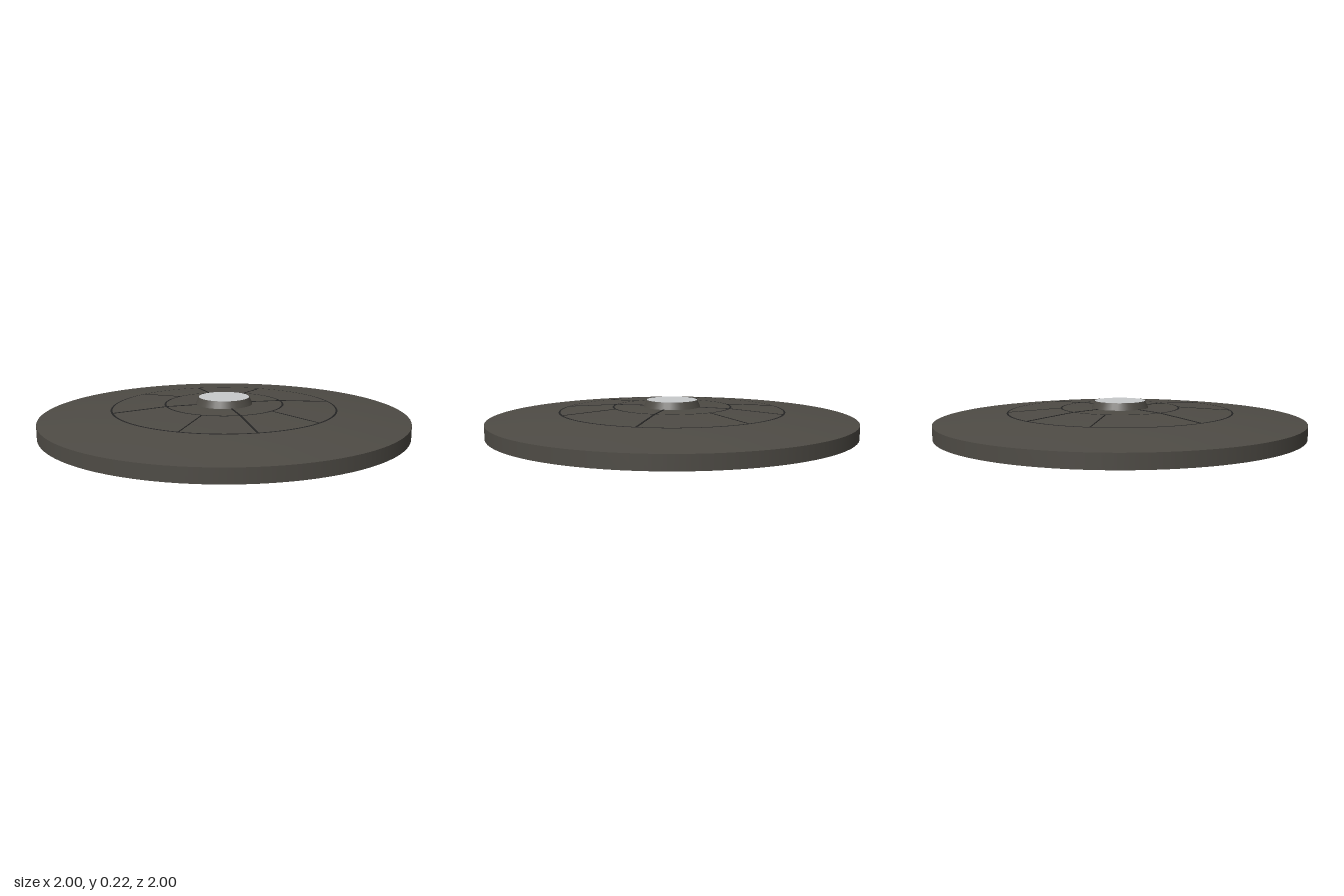
import * as THREE from 'three';

const bodyMat = new THREE.MeshStandardMaterial({ color: 0x4e4b45 });
bodyMat.name = 'dark warm grey';
const lineMat = new THREE.MeshStandardMaterial({ color: 0x242424 });
lineMat.name = 'near black';
const capMat = new THREE.MeshStandardMaterial({ color: 0xc8cacc });
capMat.name = 'light grey';

const BASE = 0.045;
// Upper surface, as radius and height from the rim inward
const TOP = [[1, 0.118], [0.8, 0.142], [0.61, 0.159], [0.32, 0.18], [0.15, 0.182]];

function topHeight(r) {
  for (let i = 1; i < TOP.length; i++) {
    const [r0, y0] = TOP[i - 1], [r1, y1] = TOP[i];
    if (r >= r1) return y0 + (y1 - y0) * (r - r0) / (r1 - r0);
  }
  return 0.182;
}

export function createModel() {
  const model = new THREE.Group();
  model.name = 'disc';

  function add(name, geometry, material) {
    const mesh = new THREE.Mesh(geometry, material);
    mesh.name = name;
    model.add(mesh);
    return mesh;
  }
  // Profiles run along the underside, up the outside and back inward
  function lathe(name, points, material, segments = 96) {
    return add(name, new THREE.LatheGeometry(points.map(p => new THREE.Vector2(...p)), segments), material);
  }

  // Disc body: separate surfaces keep the rim edges sharp
  lathe('underside', [[0.13, BASE], [1, BASE]], bodyMat);
  lathe('rim', [[1, BASE], [1, 0.118]], bodyMat);
  lathe('upperSurface', TOP, bodyMat);

  // Hub collars and their pale end caps
  lathe('upperHub', [[0.157, 0.178], [0.152, 0.19], [0.138, 0.22]], bodyMat, 32);
  lathe('lowerHub', [[0.136, 0], [0.152, 0.034], [0.157, BASE]], bodyMat, 32);
  lathe('upperCap', [[0.138, 0.22], [0, 0.22]], capMat, 32);
  lathe('lowerCap', [[0, 0], [0.136, 0]], capMat, 32);

  // Panel rings, thin bands on both faces
  for (const r of [0.32, 0.61]) {
    const a = r - 0.005, b = r + 0.005, lift = 0.002;
    lathe('upperPanelRing', [[b, topHeight(b) + lift], [a, topHeight(a) + lift]], lineMat);
    lathe('lowerPanelRing', [[a, BASE - lift], [b, BASE - lift]], lineMat);
  }

  // Radial seams, thin bars that follow the surface
  function seam(name, angle, r0, r1, y0, y1, width) {
    const length = Math.hypot(r1 - r0, y1 - y0);
    const geometry = new THREE.BoxGeometry(length, 0.004, width);
    geometry.rotateZ(Math.atan2(y1 - y0, r1 - r0));
    geometry.translate((r0 + r1) / 2, (y0 + y1) / 2, 0);
    geometry.rotateY(angle);
    add(name, geometry, lineMat);
  }
  for (let i = 0; i < 4; i++) {
    const straight = i * Math.PI / 2;
    seam('upperInnerSeam', straight, 0.15, 0.32, topHeight(0.15), topHeight(0.32), 0.009);
    seam('upperOuterSeam', straight, 0.32, 0.61, topHeight(0.32), topHeight(0.61), 0.009);
    seam('lowerSeam', straight, 0.15, 0.61, BASE, BASE, 0.009);
  }
  for (const degrees of [54, 126, 234, 306]) {
    const angle = THREE.MathUtils.degToRad(degrees);
    seam('upperDiagonalSeam', angle, 0.32, 0.61, topHeight(0.32), topHeight(0.61), 0.005);
    seam('lowerDiagonalSeam', angle, 0.32, 0.61, BASE, BASE, 0.005);
  }

  return model;
}
